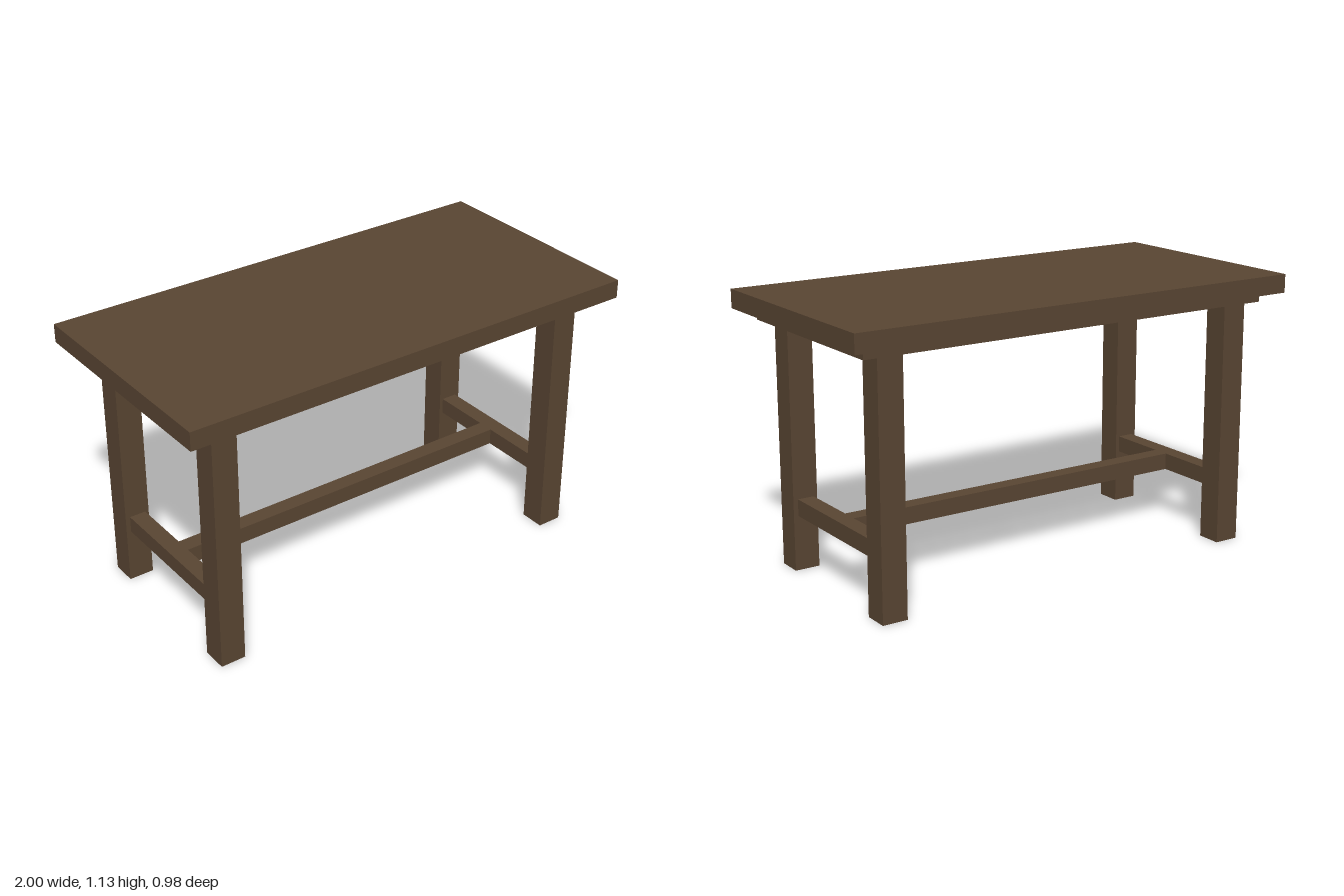
import * as THREE from 'three';

export function createModel() {
  const group = new THREE.Group();
  group.name = 'table';
  const wood = new THREE.MeshStandardMaterial({ color: 0x5a4633 });
  wood.name = 'dark brown wood';

  // Box given by its size, its bottom height and its centre on the floor plan
  function board(name, w, h, d, bottom, x = 0, z = 0) {
    const mesh = new THREE.Mesh(new THREE.BoxGeometry(w, h, d), wood);
    mesh.name = name;
    mesh.position.set(x, bottom + h / 2, z);
    group.add(mesh);
  }

  // Top and the smaller slab under it
  board('tableTop', 2, 0.077, 0.984, 1.058);
  board('underSlab', 1.856, 0.042, 0.84, 1.017);

  for (const sx of [-1, 1]) {
    const side = sx > 0 ? 'left' : 'right';
    // Square legs
    for (const sz of [-1, 1]) {
      const end = sz > 0 ? 'Front' : 'Back';
      board(side + end + 'Leg', 0.106, 1.017, 0.106, 0, sx * 0.81 - 0.002, sz * 0.349 + 0.001);
    }
    // Short rail between the front and back legs
    board(side + 'CrossRail', 0.07, 0.07, 0.592, 0.228, sx * 0.808 - 0.002, 0.001);
  }

  // Long rail joining the two short rails
  board('longRail', 1.546, 0.07, 0.07, 0.228, -0.002, 0.001);

  return group;
}
